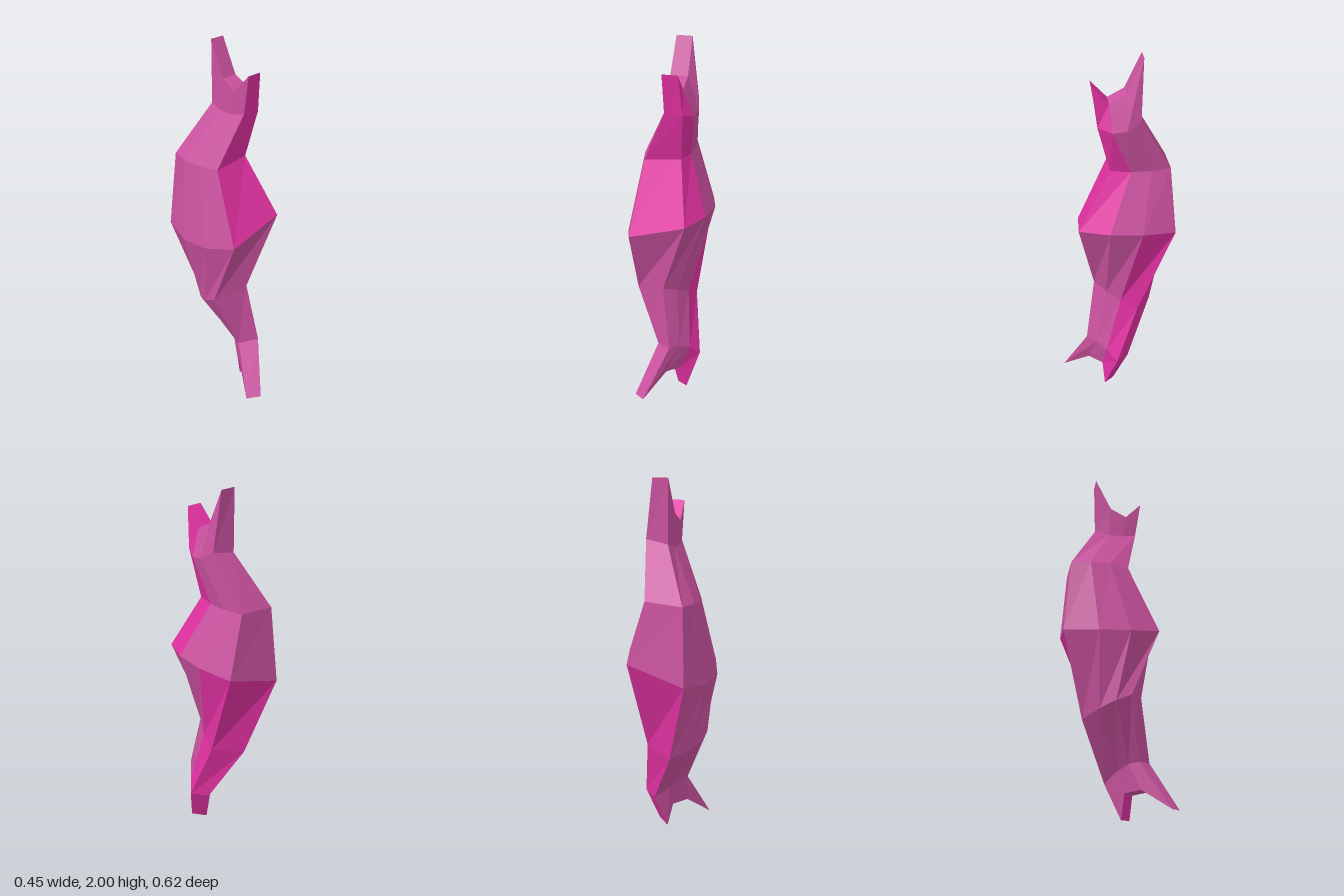
import * as THREE from 'three';

// Cross-sections, bottom to top. Each has four corners (front -x, front +x, back +x, back -x)
// and how far the middle of its +x and -x sides is pushed off the straight line between them.
const SECTIONS = [
  { corners: [[-.125, .02, .257], [-.063, .03, .31], [.125, .015, .085], [.06, 0, .03]], right: [.03, .12, -.065], left: [.032, .125, -.063] },
  { corners: [[-.035, .285, .11], [.05, .305, .18], [.185, .21, .02], [.11, .20, -.05]], right: [0, .027, 0], left: [-.025, .02, 0] },
  { corners: [[-.17, .60, .05], [0, .65, .13], [.13, .535, -.10], [-.03, .50, -.19]], right: [.02, .01, .015], left: [-.04, 0, 0] },
  { corners: [[-.17, .97, .20], [.145, 1.07, .22], [.17, 1.045, -.295], [-.15, .95, -.31]], right: [.063, .018, .01], left: [-.063, -.025, .01] },
  { corners: [[-.13, 1.36, .04], [.075, 1.385, .045], [.075, 1.385, -.275], [-.13, 1.37, -.275]], right: [.025, 0, 0], left: [-.03, 0, 0] },
  { corners: [[0, 1.65, .105], [.10, 1.645, .11], [.125, 1.68, -.11], [0, 1.66, -.125]], right: [.03, -.03, 0], left: [-.01, -.02, 0] },
  { corners: [[-.003, 1.86, .137], [.083, 1.86, .137], [.083, 2, -.125], [-.003, 2, -.125]], right: [.002, -.142, 0], left: [-.007, -.142, 0] },
];

// Two points a third and two thirds along one side, moved by its push
function sidePoints(from, to, push) {
  return [1 / 3, 2 / 3].map((t) => from.map((v, axis) => v + (to[axis] - v) * t + push[axis]));
}

// Eight-sided rings, anticlockwise from above, starting at the front -x corner
const RINGS = SECTIONS.map(({ corners: [fl, fr, br, bl], right, left }) =>
  [fl, fr, ...sidePoints(fr, br, right), br, bl, ...sidePoints(bl, fl, left)]);

// Flat-shaded mesh from four-cornered panels, one geometry group per colour
function panelMesh(name, panels, materials) {
  const points = [];
  const geometry = new THREE.BufferGeometry();
  materials.forEach((_, m) => {
    const start = points.length / 3;
    for (const { corners: [a, b, c, d], material } of panels) {
      if (material === m) points.push(...a, ...b, ...c, ...a, ...c, ...d);
    }
    geometry.addGroup(start, points.length / 3 - start, m);
  });
  geometry.setAttribute('position', new THREE.Float32BufferAttribute(points, 3));
  geometry.computeVertexNormals();
  const mesh = new THREE.Mesh(geometry, materials);
  mesh.name = name;
  return mesh;
}

// Panels joining ring i to ring i + 1; the listed columns are magenta
function band(i, magentaColumns) {
  const low = RINGS[i], high = RINGS[i + 1];
  return low.map((_, j) => {
    const k = (j + 1) % low.length;
    return { corners: [low[j], low[k], high[k], high[j]], material: magentaColumns.includes(j) ? 1 : 0 };
  });
}

// Front slope, saddle and back slope closing a forked end
function forkCap(ring, colours, facesDown) {
  return [[0, 1, 2, 7], [7, 2, 3, 6], [6, 3, 4, 5]].map((ids, n) => {
    const corners = ids.map((id) => ring[id]);
    if (facesDown) corners.reverse();
    return { corners, material: colours[n] };
  });
}

export function createModel() {
  const mauve = new THREE.MeshStandardMaterial({ color: 0xcb529f });
  mauve.name = 'mauve';
  const magenta = new THREE.MeshStandardMaterial({ color: 0xe231a2 });
  magenta.name = 'magenta';
  const materials = [mauve, magenta];

  // Magenta runs up the front of the upper half and down the back of the lower half
  const FRONT = [0, 1], BACK = [3, 4];
  const group = new THREE.Group();
  group.name = 'forkedBody';
  group.add(
    panelMesh('lowerFork', [...band(0, BACK), ...forkCap(RINGS[0], [0, 0, 1], true)], materials),
    panelMesh('lowerNeck', band(1, BACK), materials),
    panelMesh('lowerBelly', band(2, BACK), materials),
    panelMesh('upperBelly', band(3, FRONT), materials),
    panelMesh('upperNeck', band(4, FRONT), materials),
    panelMesh('upperFork', [...band(5, FRONT), ...forkCap(RINGS[6], [1, 0, 0], false)], materials),
  );
  return group;
}
